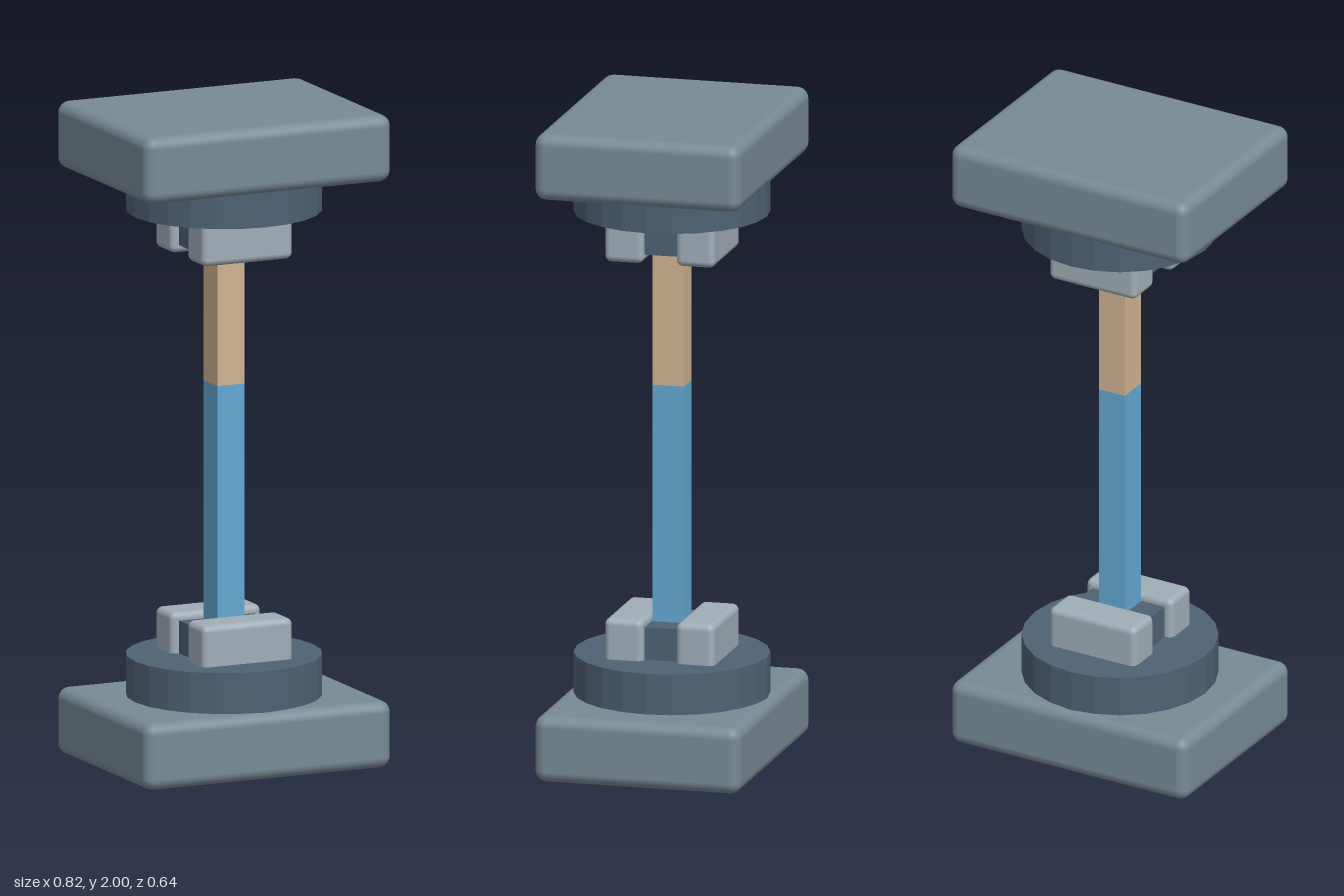
import * as THREE from 'three';
import { RoundedBoxGeometry } from 'three/addons/geometries/RoundedBoxGeometry.js';

function material(name, color, flatShading = false) {
  const m = new THREE.MeshStandardMaterial({ color });
  m.name = name;
  m.flatShading = flatShading;
  return m;
}

export function createModel() {
  const model = new THREE.Group();
  model.name = 'tensileTestFixture';
  const steel = material('greySteel', 0x788a94);
  const dark = material('darkSteel', 0x4f6173, true);
  const pale = material('paleSteel', 0xa0adb6);
  const tan = material('tanSpecimen', 0xcfb291);
  const blue = material('blueSpecimen', 0x62a8d2);

  function add(parent, name, geometry, mat, x, y, z) {
    const mesh = new THREE.Mesh(geometry, mat);
    mesh.name = name;
    mesh.position.set(x, y, z);
    parent.add(mesh);
    return mesh;
  }

  // One grip, built standing on y = 0
  function makeGrip(name, discTop, padTop, jawTop) {
    const grip = new THREE.Group();
    grip.name = name;
    add(grip, 'block', new RoundedBoxGeometry(0.82, 0.205, 0.64, 3, 0.035), steel, 0, 0.1025, 0);
    const discHeight = discTop - 0.2;
    add(grip, 'disc', new THREE.CylinderGeometry(0.295, 0.295, discHeight, 24), dark, 0, 0.2 + discHeight / 2, 0);
    // Clamp insert between the two jaws
    const padHeight = padTop - 0.3;
    add(grip, 'clampInsert', new THREE.BoxGeometry(0.25, padHeight, 0.104), dark, 0, 0.3 + padHeight / 2, 0);
    // Jaws in front of and behind the specimen
    const jawHeight = jawTop - 0.29;
    for (const side of [-1, 1]) {
      add(grip, side > 0 ? 'frontJaw' : 'backJaw',
        new RoundedBoxGeometry(0.30, jawHeight, 0.12, 3, 0.02), pale, 0, 0.29 + jawHeight / 2, side * 0.111);
    }
    model.add(grip);
    return grip;
  }

  makeGrip('lowerGrip', 0.33, 0.43, 0.455);
  const upper = makeGrip('upperGrip', 0.31, 0.42, 0.445);
  upper.rotation.x = Math.PI;
  upper.position.y = 2;

  // Square specimen bar in two colours
  const bar = new THREE.Group();
  bar.name = 'specimen';
  model.add(bar);
  const split = 1.16;
  for (const [name, y0, y1, mat] of [['lowerSpecimen', 0.4, split, blue], ['upperSpecimen', split, 1.6, tan]]) {
    add(bar, name, new THREE.BoxGeometry(0.09, y1 - y0, 0.098), mat, 0, (y0 + y1) / 2, 0);
  }
  return model;
}
